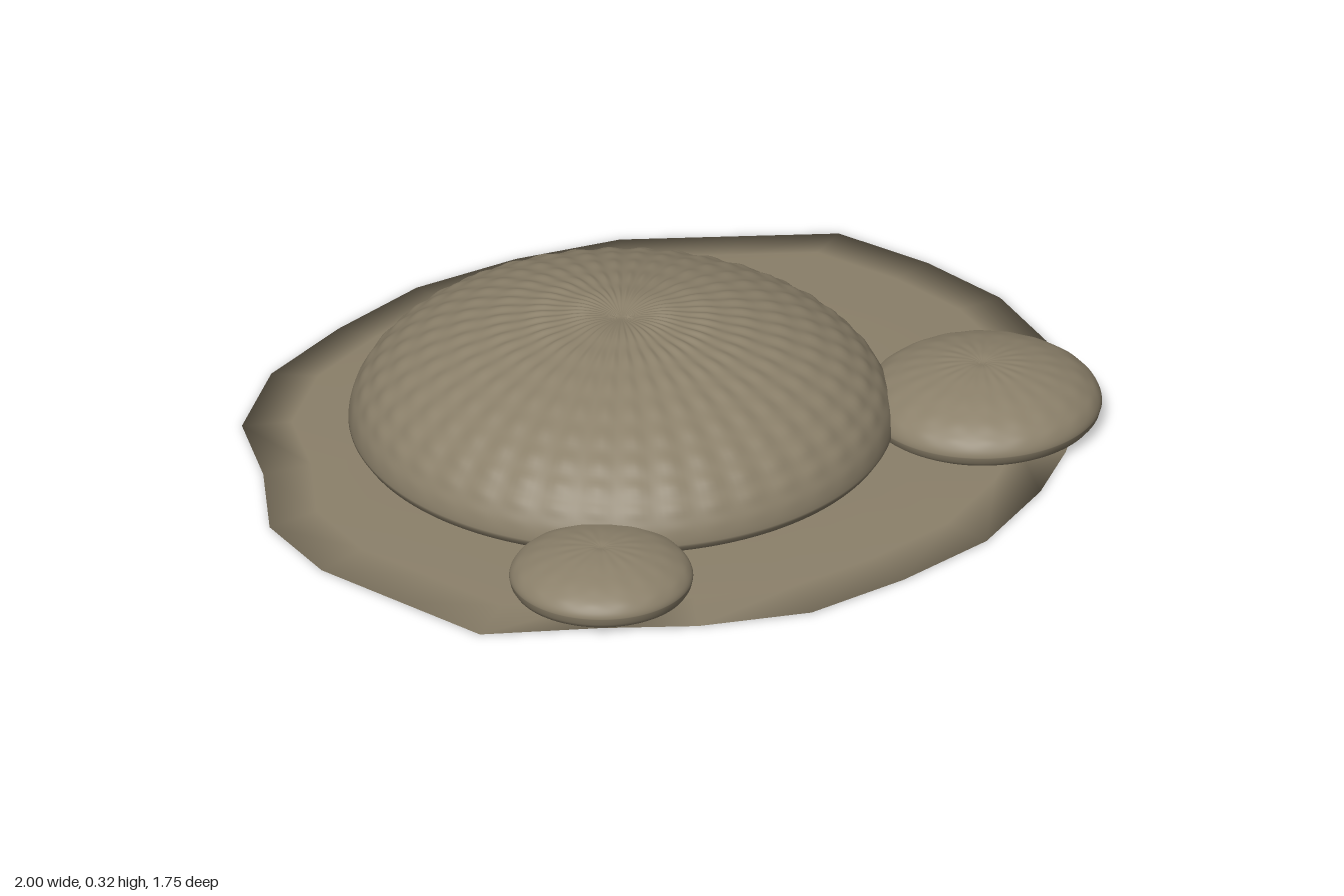
import * as THREE from 'three';
import { mergeVertices } from 'three/addons/utils/BufferGeometryUtils.js';

// Irregular ground outline as [x, z], going round from the back
const OUTLINE = [
  [0, -0.88], [0.26, -0.84], [0.5, -0.76], [0.72, -0.6], [0.905, -0.465], [0.975, -0.23],
  [1, 0], [0.955, 0.22], [0.89, 0.46], [0.66, 0.65], [0.5, 0.755], [0.26, 0.855],
  [0, 0.875], [-0.26, 0.86], [-0.5, 0.745], [-0.68, 0.61], [-0.91, 0.46], [-0.955, 0.23],
  [-1, 0], [-0.965, -0.23], [-0.82, -0.43], [-0.715, -0.635], [-0.51, -0.78], [-0.26, -0.845],
];

// Thin plate with a feathered edge; rings are shared so the rim shades softly
function plateGeometry() {
  const rings = [[0.001, 0], [0.88, 0], [1, 0.003], [0.88, 0.016], [0.6, 0.022], [0.001, 0.022]];
  const n = OUTLINE.length, pos = [], index = [];
  for (const [s, y] of rings) for (const [x, z] of OUTLINE) pos.push(x * s, y, z * s);
  for (let r = 0; r < rings.length - 1; r++) {
    for (let i = 0; i < n; i++) {
      const j = (i + 1) % n, a = r * n + i, b = r * n + j, c = a + n, d = b + n;
      index.push(a, c, b, b, c, d);
    }
  }
  const g = new THREE.BufferGeometry();
  g.setAttribute('position', new THREE.Float32BufferAttribute(pos, 3));
  g.setIndex(index);
  g.computeVertexNormals();
  return g;
}

// Low dome with a tucked-in foot, dimpled crown and a skin rippled in spokes and bands
function moundGeometry(radius, top, ripple, spokes, bands) {
  const foot = 0.012, waist = 0.042, steps = 64;
  const profile = [[0, foot], [0.9, foot], [0.955, foot + 0.006], [0.985, foot + 0.016]]
    .map(([r, y]) => new THREE.Vector2(r * radius, y));
  for (let i = 0; i <= steps; i++) {
    const a = (i / steps) * Math.PI / 2;
    const r = i === steps ? 0 : Math.cos(a);
    const dimple = 0.05 * Math.exp(-((r / 0.08) ** 2));
    profile.push(new THREE.Vector2(r * radius, waist + (top - waist) * (Math.sin(a) ** 1.06 - dimple)));
  }
  let g = new THREE.LatheGeometry(profile, 240);
  const p = g.attributes.position;
  const v = new THREE.Vector3(), out = new THREE.Vector3();
  for (let i = 0; i < p.count; i++) {
    v.fromBufferAttribute(p, i);
    if (v.y <= waist) continue;
    const r = Math.hypot(v.x, v.z) / radius, t = Math.atan2(v.z, v.x);
    const fade = Math.min(1, (1 - r) * 14) * Math.min(1, r * 4);
    const band = Math.cos(Math.acos(Math.min(1, r)) * bands * 4);
    const wave = Math.cos(t * spokes) * (0.7 + 0.3 * band) + 0.35 * band;
    out.set(v.x / radius ** 2, (v.y - waist) / (top - waist) ** 2, v.z / radius ** 2).normalize();
    v.addScaledVector(out, ripple * fade * wave);
    p.setXYZ(i, v.x, v.y, v.z);
  }
  g.deleteAttribute('uv');
  g.deleteAttribute('normal');
  g = mergeVertices(g, 1e-5);
  g.computeVertexNormals();
  return g;
}

export function createModel() {
  const group = new THREE.Group();
  const earth = new THREE.MeshStandardMaterial({ color: 0x8b806a });
  earth.name = 'earth';

  const add = (name, geometry, x = 0, z = 0) => {
    const mesh = new THREE.Mesh(geometry, earth);
    mesh.name = name;
    mesh.position.set(x, 0, z);
    group.add(mesh);
  };

  add('groundPatch', plateGeometry());
  add('mainMound', moundGeometry(0.623, 0.317, 0.0028, 40, 10), -0.062, -0.066);
  add('leftMound', moundGeometry(0.273, 0.146, 0.0007, 20, 5), 0.622, 0.397);
  add('rightMound', moundGeometry(0.21, 0.118, 0.0005, 16, 4), -0.565, 0.475);
  return group;
}
